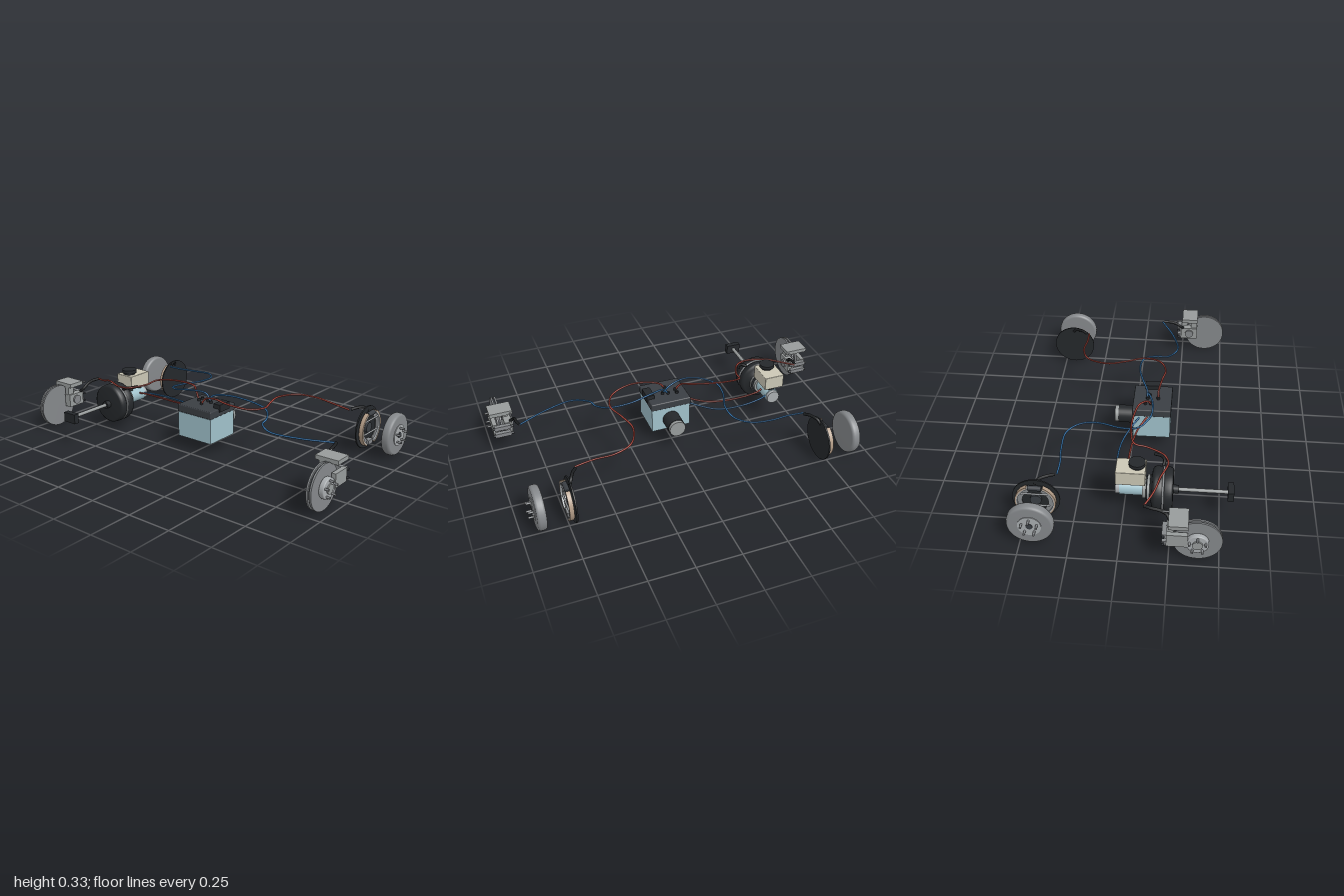
import * as THREE from 'three';
import { RoundedBoxGeometry } from 'three/addons/geometries/RoundedBoxGeometry.js';

const mat = (color) => new THREE.MeshStandardMaterial({ color });
const M = {
  steel: mat(0x85888b), bright: mat(0xa9adb0), cast: mat(0x979b9b), black: mat(0x25282b),
  dark: mat(0x3a3e43), rubber: mat(0x1b1d1f), blue: mat(0xa0c1cb), cream: mat(0xcbc7b5),
  lining: mat(0xb09a85), red: mat(0xa5443a), line: mat(0x3672a8),
};

export function createModel() {
  const root = new THREE.Group();
  const add = (parent, name, geo, material) => {
    const m = new THREE.Mesh(geo, material);
    m.name = name;
    parent.add(m);
    return m;
  };
  const group = (name) => {
    const g = new THREE.Group();
    g.name = name;
    root.add(g);
    return g;
  };
  // box given by its limits on each axis
  const box = (p, name, x, y, z, m, r = 0) => {
    const s = [Math.abs(x[1] - x[0]), y[1] - y[0], z[1] - z[0]];
    const geo = r ? new RoundedBoxGeometry(...s, 2, r) : new THREE.BoxGeometry(...s);
    add(p, name, geo, m).position.set((x[0] + x[1]) / 2, (y[0] + y[1]) / 2, (z[0] + z[1]) / 2);
  };
  // cylinder along one axis, from a to b, centred on (u, v) of the other two
  const rod = (p, name, axis, r, a, b, u, v, m, n = 32) => {
    const geo = new THREE.CylinderGeometry(r, r, Math.abs(b - a), n);
    const c = (a + b) / 2;
    if (axis === 'x') geo.rotateZ(Math.PI / 2).translate(c, u, v);
    if (axis === 'y') geo.translate(u, c, v);
    if (axis === 'z') geo.rotateX(Math.PI / 2).translate(u, v, c);
    add(p, name, geo, m);
  };
  const tube = (p, name, pts, r, m) => {
    const curve = new THREE.CatmullRomCurve3(pts.map((q) => new THREE.Vector3(...q)));
    add(p, name, new THREE.TubeGeometry(curve, pts.length * 10, r, 8), m);
  };
  // round body with a rounded rim, along x
  const roundDisc = (p, name, r, bevel, a, b, y, z, m) => {
    const w = Math.abs(b - a), s = Math.sign(b - a);
    const pts = [[0, 0], [r - bevel, 0], [r - bevel * 0.3, bevel * 0.3], [r, bevel],
      [r, w - bevel], [r - bevel * 0.3, w - bevel * 0.3], [r - bevel, w], [0, w]];
    const geo = new THREE.LatheGeometry(pts.map((q) => new THREE.Vector2(...q)), 48);
    geo.rotateZ(-s * Math.PI / 2);
    add(p, name, geo, m).position.set(a, y, z);
  };
  const bolts = (p, r, ring, a, b, y, z) => {
    for (let i = 0; i < 5; i++) {
      const t = Math.PI / 2 + (i * Math.PI * 2) / 5;
      rod(p, 'wheelStud', 'x', r, a, b, y + ring * Math.sin(t), z + ring * Math.cos(t), M.steel, 10);
    }
  };
  const arcShape = (r0, r1, a, b) => {
    const s = new THREE.Shape();
    s.absarc(0, 0, r1, a, b, false);
    s.absarc(0, 0, r0, b, a, true);
    return s;
  };

  for (const s of [1, -1]) {
    const side = s > 0 ? 'left' : 'right';
    const Y = 0.125;

    // front disc brake
    const f = group(side + 'FrontDiscBrake');
    const FZ = 0.39;
    rod(f, 'innerRotor', 'x', 0.122, s * 0.922, s * 0.932, Y, FZ, M.steel, 56);
    rod(f, 'ventCore', 'x', 0.112, s * 0.932, s * 0.941, Y, FZ, M.dark, 48);
    rod(f, 'outerRotor', 'x', 0.122, s * 0.941, s * 0.951, Y, FZ, M.steel, 56);
    roundDisc(f, 'rotorHat', 0.056, 0.005, s * 0.95, s * 0.978, Y, FZ, M.bright);
    rod(f, 'hubCentre', 'x', 0.026, s * 0.97, s * 0.985, Y, FZ, M.cast);
    bolts(f, 0.006, 0.042, s * 0.975, s * 1.0, Y, FZ);
    // caliper
    box(f, 'caliperBridge', [s * 0.862, s * 0.992], [0.232, 0.255], [0.245, 0.342], M.cast);
    box(f, 'outerCaliperBody', [s * 0.957, s * 0.982], [0.11, 0.185], [0.237, 0.342], M.cast);
    box(f, 'innerCaliperBody', [s * 0.872, s * 0.914], [0.11, 0.185], [0.237, 0.342], M.cast);
    box(f, 'caliperStem', [s * 0.884, s * 0.912], [0.185, 0.233], [0.3, 0.34], M.cast);
    rod(f, 'caliperPiston', 'x', 0.026, s * 0.862, s * 0.875, 0.148, 0.29, M.steel);
    for (const y of [0.122, 0.168]) {
      box(f, 'caliperLug', [s * 0.885, s * 0.975], [y - 0.012, y + 0.012], [0.215, 0.24], M.steel);
      rod(f, 'slidePin', 'x', 0.007, s * 0.87, s * 0.985, y, 0.222, M.dark, 12);
    }
    rod(f, 'bleedScrew', 'z', 0.005, 0.21, 0.25, s * 0.876, 0.24, M.steel, 10);
    tube(f, 'brakeHose', [[s * 0.88, 0.185, 0.25], [s * 0.862, 0.205, 0.235], [s * 0.86, 0.228, 0.2],
      [s * 0.858, 0.238, 0.155], [s * 0.848, 0.241, 0.12]], 0.0085, M.rubber);

    // rear drum brake
    const d = group(side + 'RearDrumBrake');
    const RZ = -0.442;
    roundDisc(d, 'drum', 0.12, 0.014, s * 0.868, s * 0.918, Y, RZ, M.steel);
    rod(d, 'drumFace', 'x', 0.06, s * 0.915, s * 0.922, Y, RZ, M.bright, 40);
    rod(d, 'hubCentre', 'x', 0.017, s * 0.92, s * 0.925, Y, RZ, M.dark);
    bolts(d, 0.006, 0.041, s * 0.92, s * 0.95, Y, RZ);
    rod(d, 'backingPlate', 'x', 0.124, s * 0.714, s * 0.722, Y, RZ, M.black, 48);
    rod(d, 'hubFlange', 'x', 0.03, s * 0.72, s * 0.735, Y, RZ, M.dark);
    // paired shoes and linings
    for (const turn of [0, Math.PI]) {
      const parts = [['brakeLining', 0.098, 0.106, 0.728, 0.024, M.lining],
        ['shoeRim', 0.092, 0.098, 0.728, 0.024, M.bright], ['shoeWeb', 0.068, 0.094, 0.736, 0.006, M.steel]];
      for (const [name, r0, r1, x, w, m] of parts) {
        const geo = new THREE.ExtrudeGeometry(arcShape(r0, r1, turn - 1.15, turn + 1.15),
          { depth: w, bevelEnabled: false, curveSegments: 24 });
        geo.rotateY(Math.PI / 2);
        add(d, name, geo, m).position.set(s > 0 ? x : -x - w, Y, RZ);
      }
    }
    rod(d, 'wheelCylinder', 'z', 0.014, RZ - 0.035, RZ + 0.035, s * 0.738, Y + 0.085, M.dark, 20);
    box(d, 'shoeAnchor', [s * 0.722, s * 0.75], [0.03, 0.055], [RZ - 0.025, RZ + 0.025], M.steel);
    for (const y of [0.1, 0.175]) rod(d, 'returnSpring', 'z', 0.005, RZ - 0.075, RZ + 0.075, s * 0.744, y, M.bright, 8);
    tube(d, 'brakeHose', [[s * 0.718, 0.222, -0.446], [s * 0.705, 0.244, -0.425],
      [s * 0.685, 0.25, -0.385], [s * 0.662, 0.243, -0.35]], 0.0085, M.rubber);
  }

  // control unit with pump motor
  const c = group('controlUnit');
  box(c, 'valveBlock', [-0.116, 0.114], [0.074, 0.218], [0.006, 0.214], M.blue);
  box(c, 'cover', [-0.12, 0.118], [0.218, 0.262], [0, 0.217], M.dark, 0.006);
  box(c, 'connector', [0.08, 0.126], [0.245, 0.287], [0.06, 0.145], M.black);
  rod(c, 'pumpMotor', 'z', 0.05, -0.085, 0.01, 0, 0.14, M.black);
  rod(c, 'motorCap', 'z', 0.047, -0.105, -0.085, 0, 0.14, M.cast);
  for (const [x, z] of [[-0.06, 0.1], [-0.01, 0.08], [-0.01, 0.14], [0.02, 0.09], [-0.06, 0.07]])
    rod(c, 'portFitting', 'y', 0.009, 0.255, 0.276, x, z, M.black, 10);

  // vacuum booster, turned about the z axis
  const b = group('boosterAndMasterCylinder');
  const BX = -0.63, BY = 0.16;
  const profile = [[0, 0.118], [0.06, 0.118], [0.066, 0.124], [0.066, 0.142], [0.1, 0.15], [0.112, 0.158],
    [0.115, 0.168], [0.115, 0.192], [0.108, 0.2], [0.108, 0.212], [0.115, 0.218], [0.112, 0.246], [0.1, 0.256], [0, 0.258]];
  const shell = new THREE.LatheGeometry(profile.map((q) => new THREE.Vector2(...q)), 48);
  shell.rotateX(Math.PI / 2);
  add(b, 'boosterShell', shell, M.black).position.set(BX, BY, 0);
  const rim = add(b, 'boosterRim', new THREE.TorusGeometry(0.11, 0.005, 8, 48), M.bright);
  rim.position.set(BX, BY, 0.206);
  rod(b, 'mountFlange', 'z', 0.069, 0.125, 0.137, BX, BY, M.cast);
  rod(b, 'cylinderCollar', 'z', 0.055, 0.1, 0.12, BX, BY, M.cast);
  // master cylinder and reservoir
  rod(b, 'masterCylinder', 'z', 0.042, -0.02, 0.105, BX, BY, M.blue);
  rod(b, 'cylinderEnd', 'z', 0.038, -0.04, -0.02, BX, BY, M.bright);
  for (const z of [0, 0.075]) rod(b, 'reservoirNeck', 'y', 0.02, 0.19, 0.23, BX, z, M.black, 20);
  box(b, 'fluidReservoir', [-0.69, -0.573], [0.222, 0.303], [-0.038, 0.115], M.cream, 0.004);
  rod(b, 'capNeck', 'y', 0.034, 0.3, 0.315, BX, 0.07, M.black);
  rod(b, 'reservoirCap', 'y', 0.043, 0.313, 0.332, BX, 0.07, M.black, 20);
  // push rod and pedal
  rod(b, 'rodBoot', 'z', 0.022, 0.25, 0.285, BX, BY, M.black);
  rod(b, 'pushRod', 'z', 0.01, 0.25, 0.54, BX, BY, M.cast, 16);
  box(b, 'pedalPad', [-0.673, -0.588], [0.133, 0.188], [0.535, 0.566], M.black);

  // rigid brake lines
  const l = group('brakeLines');
  const R = 0.0052;
  tube(l, 'leftFrontLine', [[-0.01, 0.265, 0.08], [0.02, 0.3, 0.075], [0.1, 0.312, 0.045], [0.24, 0.3, 0.018],
    [0.36, 0.285, 0.04], [0.415, 0.265, 0.11], [0.43, 0.257, 0.17], [0.52, 0.25, 0.227], [0.68, 0.245, 0.195],
    [0.848, 0.241, 0.12]], R, M.line);
  tube(l, 'rightRearLine', [[0.02, 0.265, 0.09], [-0.02, 0.31, 0.085], [-0.12, 0.318, 0.115], [-0.22, 0.3, 0.11],
    [-0.3, 0.282, 0.045], [-0.3, 0.275, -0.04], [-0.26, 0.27, -0.17], [-0.27, 0.265, -0.27], [-0.34, 0.26, -0.335],
    [-0.46, 0.25, -0.345], [-0.57, 0.246, -0.335], [-0.662, 0.243, -0.338]], R, M.line);
  tube(l, 'leftRearLine', [[-0.01, 0.265, 0.14], [0.02, 0.3, 0.14], [0.1, 0.32, 0.155], [0.2, 0.315, 0.17],
    [0.31, 0.3, 0.13], [0.35, 0.292, 0.04], [0.315, 0.287, -0.07], [0.29, 0.283, -0.18], [0.34, 0.276, -0.3],
    [0.44, 0.268, -0.342], [0.56, 0.258, -0.335], [0.662, 0.243, -0.338]], R, M.red);
  tube(l, 'rightFrontLine', [[-0.06, 0.265, 0.1], [-0.09, 0.305, 0.085], [-0.14, 0.32, 0.045], [-0.24, 0.316, 0.02],
    [-0.35, 0.305, 0.015], [-0.44, 0.29, 0.04], [-0.452, 0.28, 0.11], [-0.5, 0.274, 0.2], [-0.56, 0.274, 0.225],
    [-0.68, 0.278, 0.19], [-0.76, 0.258, 0.165], [-0.848, 0.241, 0.12]], R, M.red);
  // feed lines from the master cylinder
  tube(l, 'primaryFeedLine', [[-0.585, 0.18, 0.035], [-0.55, 0.178, 0.02], [-0.45, 0.174, 0.01], [-0.3, 0.176, 0.018],
    [-0.2, 0.19, 0.04], [-0.112, 0.212, 0.085]], R, M.red);
  tube(l, 'secondaryFeedLine', [[-0.59, 0.165, -0.015], [-0.54, 0.165, -0.035], [-0.42, 0.162, -0.052],
    [-0.28, 0.164, -0.04], [-0.18, 0.185, 0], [-0.112, 0.205, 0.04]], R, M.line);
  // vacuum hose stub on the booster
  tube(l, 'vacuumHose', [[-0.56, 0.25, 0.2], [-0.53, 0.265, 0.205], [-0.505, 0.27, 0.19], [-0.49, 0.27, 0.15]], 0.0085, M.rubber);

  return root;
}
